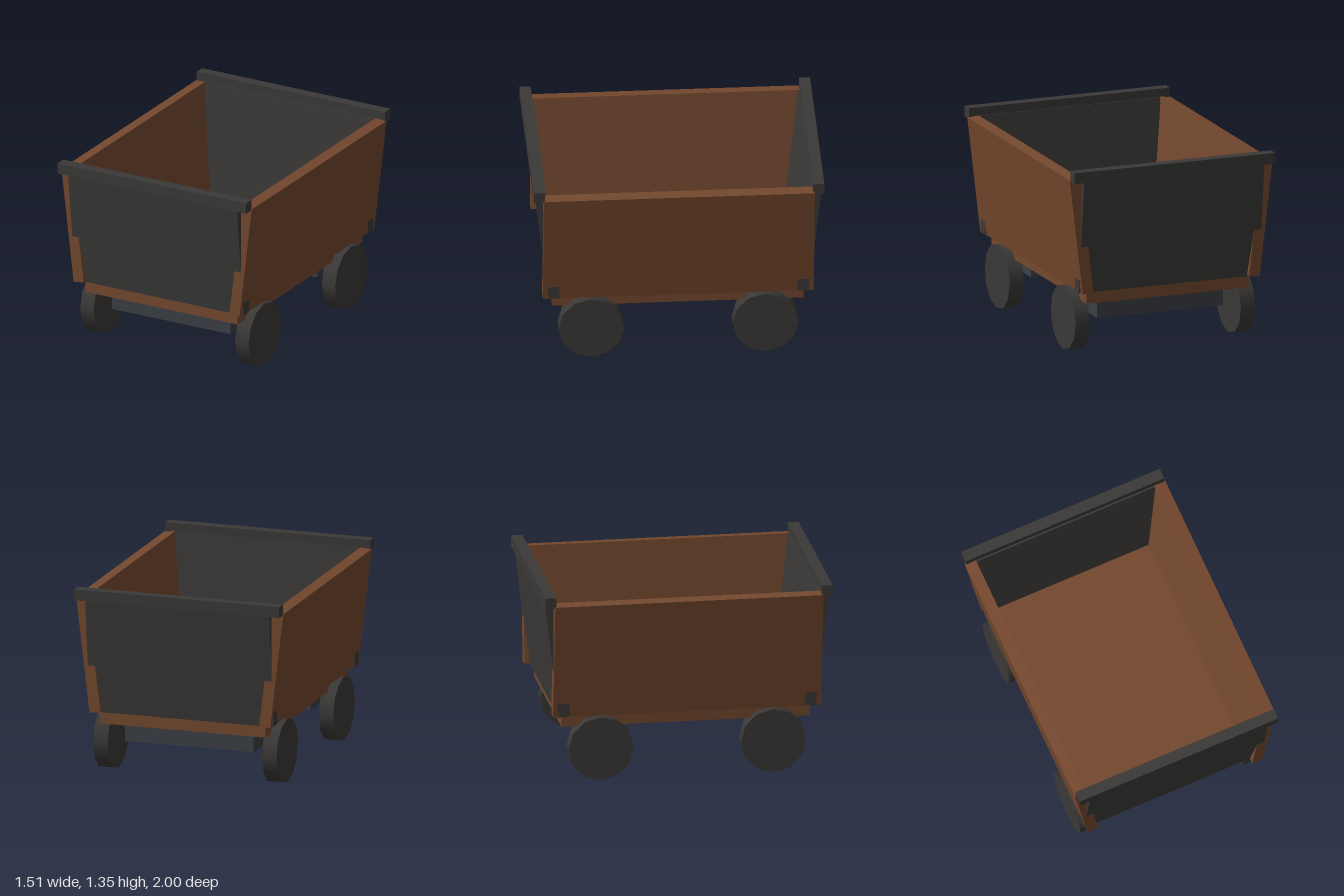
import * as THREE from 'three';

const wood = new THREE.MeshStandardMaterial({ color: 0x74482e });
const iron = new THREE.MeshStandardMaterial({ color: 0x3a3937 });
const steel = new THREE.MeshStandardMaterial({ color: 0x3b3f45 });

const TILT = 0.117; // outward lean of all four walls

export function createModel() {
  const cart = new THREE.Group();
  cart.name = 'mineCart';

  const add = (name, geometry, material, x, y, z) => {
    const mesh = new THREE.Mesh(geometry, material);
    mesh.name = name;
    mesh.position.set(x, y, z);
    cart.add(mesh);
    return mesh;
  };

  // Floor slab
  add('floor', new THREE.BoxGeometry(1.2, 0.096, 1.73), wood, 0, 0.425, 0);

  const sideWall = new THREE.BoxGeometry(0.08, 0.824, 1.866);
  const endWall = new THREE.BoxGeometry(1.336, 0.824, 0.08);
  const endRail = new THREE.BoxGeometry(1.49, 0.077, 0.077);
  const axle = new THREE.BoxGeometry(0.934, 0.13, 0.26);
  const wheel = new THREE.CylinderGeometry(0.227, 0.227, 0.106, 12).rotateZ(Math.PI / 2);

  for (const s of [1, -1]) {
    const side = s > 0 ? 'left' : 'right';
    const end = s > 0 ? 'front' : 'back';

    // Leaning wooden sides
    add(side + 'Wall', sideWall, wood, s * 0.665, 0.879, 0).rotation.z = -s * TILT;

    // Leaning iron ends, their corners reaching through the sides, with a top rail
    add(end + 'Wall', endWall, iron, 0, 0.879, s * 0.902).rotation.x = s * TILT;
    add(end + 'Rail', endRail, iron, 0, 1.311, s * 0.9615);

    // Axle block and its two wheels
    add(end + 'Axle', axle, steel, 0, 0.295, s * 0.6);
    for (const x of [0.613, -0.613]) {
      add(end + (x > 0 ? 'Left' : 'Right') + 'Wheel', wheel, iron, x, 0.227, s * 0.6);
    }
  }

  return cart;
}
